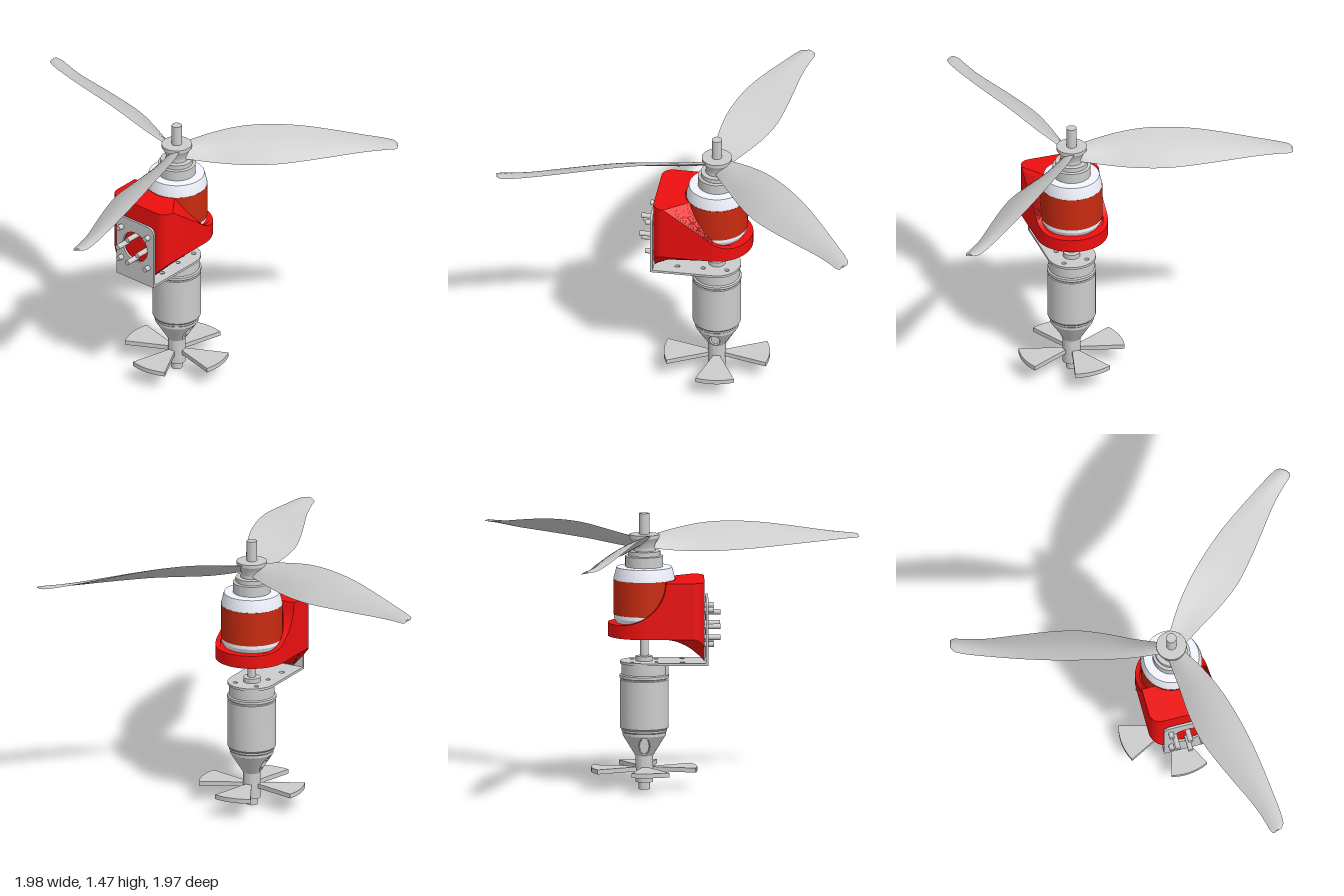
import * as THREE from 'three';
import { toCreasedNormals } from 'three/addons/utils/BufferGeometryUtils.js';

const material = (color, side = THREE.FrontSide) => new THREE.MeshStandardMaterial({ color, side });
const GREY = material(0xcccccc), RED = material(0xee0f0f), SLEEVE = material(0xc82a10), PALE = material(0xf2f5ff);
const BLADE = material(0xcccccc, THREE.DoubleSide);

function add(parent, name, geometry, mat = GREY) {
  const mesh = new THREE.Mesh(geometry, mat);
  mesh.name = name;
  parent.add(mesh);
  return mesh;
}

// Turned part from [radius, height] pairs, hard edges kept
function turned(points, segments = 64) {
  const profile = points.map(([r, y]) => new THREE.Vector2(r, y));
  return toCreasedNormals(new THREE.LatheGeometry(profile, segments), 0.5);
}

// Skin over closed cross-sections
function loft(rings, closed) {
  const n = rings[0].length, index = [];
  const last = closed ? rings.length : rings.length - 1;
  for (let i = 0; i < last; i++) {
    const i2 = (i + 1) % rings.length;
    for (let j = 0; j < n; j++) {
      const k = (j + 1) % n;
      const a = i * n + j, b = i * n + k, c = i2 * n + j, d = i2 * n + k;
      index.push(a, b, c, b, d, c);
    }
  }
  const geo = new THREE.BufferGeometry();
  geo.setAttribute('position', new THREE.Float32BufferAttribute(rings.flat(2), 3));
  geo.setIndex(index);
  return toCreasedNormals(geo, 0.6);
}

function circleHole(shape, x, y, r) {
  shape.holes.push(new THREE.Path().absarc(x, y, r, 0, Math.PI * 2, true));
}

// Housing: rounded footprint around a bore, with a scooped back and underside
function housingGeometry() {
  const s = new THREE.Shape();
  s.moveTo(0.192, 0);
  s.absarc(0.132, 0.257, 0.06, 0, Math.PI / 2);
  s.absarc(-0.132, 0.257, 0.06, Math.PI / 2, Math.PI);
  s.absarc(0, 0, 0.192, Math.PI, Math.PI * 2);
  const top = (z) => {
    const t = THREE.MathUtils.clamp((0.112 - z) / 0.26, 0, 1);
    return 0.89 + 0.23 * (1 - Math.sqrt(1 - (1 - t) ** 2));
  };
  const bottom = (x, z) => {
    const scoop = 0.82 - 0.13 * Math.max(0, (z - 0.107) / 0.21) ** 2;
    const bevel = 0.82 - Math.max(0, 0.192 - Math.abs(x)) * 1.1;
    return Math.max(scoop, Math.min(bevel, 0.82));
  };
  const steps = 10;
  const outline = s.getSpacedPoints(240).slice(0, -1);
  return loft(outline.map((p) => {
    const inner = p.clone().setLength(0.166), up = [], down = [];
    for (let k = 0; k <= steps; k++) {
      const q = p.clone().lerp(inner, k / steps);
      up.push([q.x, top(q.y), q.y]);
      down.unshift([q.x, bottom(q.x, q.y), q.y]);
    }
    return [...up, ...down];
  }), true);
}

// Twisted airfoil blade along +z: station = [span, low edge x, y, high edge x, y]
function bladeGeometry() {
  const stations = [
    [0.04, -0.04, 1.285, 0.042, 1.345], [0.2, -0.065, 1.27, 0.08, 1.375],
    [0.35, -0.093, 1.268, 0.1, 1.395], [0.5, -0.107, 1.272, 0.106, 1.397],
    [0.65, -0.095, 1.278, 0.104, 1.386], [0.8, -0.073, 1.285, 0.092, 1.366],
    [0.98, -0.045, 1.293, 0.07, 1.338], [1.1, -0.039, 1.3, 0.052, 1.322],
    [1.15, -0.039, 1.302, 0.036, 1.316], [1.168, -0.03, 1.303, 0.012, 1.312],
  ];
  const low = new THREE.CatmullRomCurve3(stations.map((t) => new THREE.Vector3(t[1], t[2], t[0])));
  const high = new THREE.CatmullRomCurve3(stations.map((t) => new THREE.Vector3(t[3], t[4], t[0])));
  const rings = [], n = 10, rows = 54;
  for (let i = 0; i <= rows; i++) {
    const a = low.getPoint(i / rows), b = high.getPoint(i / rows);
    const thick = i === rows ? 0 : 0.012 - 0.007 * (i / rows);
    const ring = [];
    for (let j = 0; j < 2 * n; j++) {
      const t = j <= n ? j / n : 2 - j / n;
      const p = b.clone().lerp(a, t);
      const bulge = Math.sin(Math.PI * t);
      const h = bulge * (0.006 + (j <= n ? thick : -thick));
      ring.push([p.x, p.y + h, p.z]);
    }
    rings.push(ring);
  }
  return loft(rings, false);
}

// Nose cone with a slot pressed into each side
function noseGeometry() {
  const profile = [];
  for (let k = 0; k <= 24; k++) profile.push(new THREE.Vector2(0.047 + 0.068 * k / 24, 0.18 + 0.11 * k / 24));
  const geo = new THREE.LatheGeometry(profile, 120);
  const pos = geo.attributes.position;
  for (let i = 0; i < pos.count; i++) {
    const slot = (pos.getZ(i) / 0.026) ** 2 + ((pos.getY(i) - 0.237) / 0.047) ** 2;
    if (slot < 1) pos.setX(i, Math.sign(pos.getX(i)) * Math.min(Math.abs(pos.getX(i)), 0.045));
  }
  return toCreasedNormals(geo, 0.5);
}

export function createModel() {
  const model = new THREE.Group();
  model.name = 'propulsionUnit';
  const core = new THREE.Group();
  core.name = 'driveAxis';
  core.position.set(0.126, 0, -0.157);
  model.add(core);

  // Lower shaft and cutter
  add(core, 'lowerShaft', turned([[0, 0], [0.03, 0], [0.03, 0.04], [0.047, 0.04], [0.047, 0.18]], 40));
  const sector = new THREE.Shape();
  sector.absarc(0, 0, 0.28, -0.37, 0.37);
  sector.absarc(0, 0, 0.03, 0.37, -0.37, true);
  const sectorGeo = new THREE.ExtrudeGeometry(sector, { depth: 0.024, bevelEnabled: false, curveSegments: 16 });
  sectorGeo.rotateX(-Math.PI / 2);
  for (let i = 0; i < 4; i++) {
    const blade = add(core, 'cutterBlade', sectorGeo);
    blade.position.y = 0.096;
    blade.rotation.y = 0.113 + i * Math.PI / 2;
  }

  // Lower motor
  add(core, 'noseCone', noseGeometry());
  add(core, 'lowerMotor', turned([
    [0.1, 0.29], [0.115, 0.29], [0.115, 0.305], [0.12, 0.31], [0.12, 0.32], [0.128, 0.33], [0.128, 0.585],
    [0.122, 0.588], [0.122, 0.592], [0.13, 0.595], [0.13, 0.61], [0.121, 0.615], [0.121, 0.672], [0, 0.672]]));
  add(core, 'motorConnector', new THREE.BoxGeometry(0.092, 0.06, 0.03)).position.set(0, 0.641, 0.112);

  // Angle bracket
  const base = new THREE.Shape();
  base.moveTo(0.128, 0.337);
  base.lineTo(-0.128, 0.337);
  base.absarc(0, 0, 0.128, Math.PI, Math.PI * 2);
  for (let i = 0; i < 4; i++) {
    const a = Math.PI / 4 + i * Math.PI / 2;
    circleHole(base, 0.09 * Math.cos(a), 0.09 * Math.sin(a), 0.012);
  }
  for (const x of [-0.07, 0.07]) circleHole(base, x, 0.2, 0.014);
  const plate = { depth: 0.013, bevelEnabled: false, curveSegments: 32 };
  const baseGeo = new THREE.ExtrudeGeometry(base, plate).rotateX(Math.PI / 2);
  add(core, 'bracketBase', baseGeo).position.y = 0.685;
  const face = new THREE.Shape();
  face.moveTo(-0.128, 0.672);
  face.lineTo(0.128, 0.672);
  face.absarc(0.088, 0.988, 0.04, 0, Math.PI / 2);
  face.absarc(-0.088, 0.988, 0.04, Math.PI / 2, Math.PI);
  circleHole(face, 0, 0.875, 0.085);
  add(core, 'bracketFace', new THREE.ExtrudeGeometry(face, plate)).position.z = 0.324;

  // Bolts: four short at the corners, four long in the opening
  const bolt = (x, y, length) => {
    const geo = new THREE.CylinderGeometry(0.014, 0.014, length, 20).rotateX(Math.PI / 2);
    add(core, 'bolt', geo).position.set(x, 0.875 + y, 0.315 + length / 2);
  };
  for (let i = 0; i < 4; i++) {
    const a = i * Math.PI / 2;
    bolt(0.068 * Math.cos(a), 0.068 * Math.sin(a), 0.087);
    bolt(0.13 * Math.cos(a + Math.PI / 4), 0.13 * Math.sin(a + Math.PI / 4), 0.053);
  }

  // Coupling shaft and housing
  add(core, 'couplingShaft', turned([[0.045, 0.68], [0.045, 0.71], [0.022, 0.712], [0.022, 0.83]], 32));
  add(core, 'housing', housingGeometry(), RED);
  add(core, 'housingFloor', new THREE.CylinderGeometry(0.168, 0.168, 0.07, 64), RED).position.y = 0.855;
  for (let i = 0; i < 4; i++) {
    const a = Math.PI / 4 + i * Math.PI / 2;
    const screw = add(core, 'floorScrew', new THREE.CylinderGeometry(0.012, 0.012, 0.01, 16));
    screw.position.set(0.09 * Math.cos(a), 0.818, 0.09 * Math.sin(a));
  }

  // Upper motor
  add(core, 'motorBase', turned([[0.145, 0.888], [0.16, 0.915], [0.16, 0.936]]), PALE);
  add(core, 'motorSleeve', turned([[0.15, 0.935], [0.163, 0.935], [0.163, 1.12], [0.15, 1.12]]), SLEEVE);
  add(core, 'motorCap', turned([[0.162, 1.119], [0.161, 1.13], [0.147, 1.185], [0.09, 1.188]]), PALE);
  add(core, 'motorCollar', turned([
    [0.1, 1.185], [0.1, 1.243], [0.085, 1.246], [0.085, 1.27], [0.06, 1.272], [0.06, 1.29]]));

  // Main propeller
  add(core, 'propellerHub', turned([
    [0, 1.268], [0.055, 1.268], [0.06, 1.31], [0.08, 1.34], [0.08, 1.358], [0.027, 1.36], [0.027, 1.47], [0, 1.47]], 48));
  const bladeGeo = bladeGeometry();
  for (let i = 0; i < 3; i++) {
    add(core, 'propellerBlade', bladeGeo, BLADE).rotation.y = 0.25 + i * Math.PI * 2 / 3;
  }
  return model;
}
